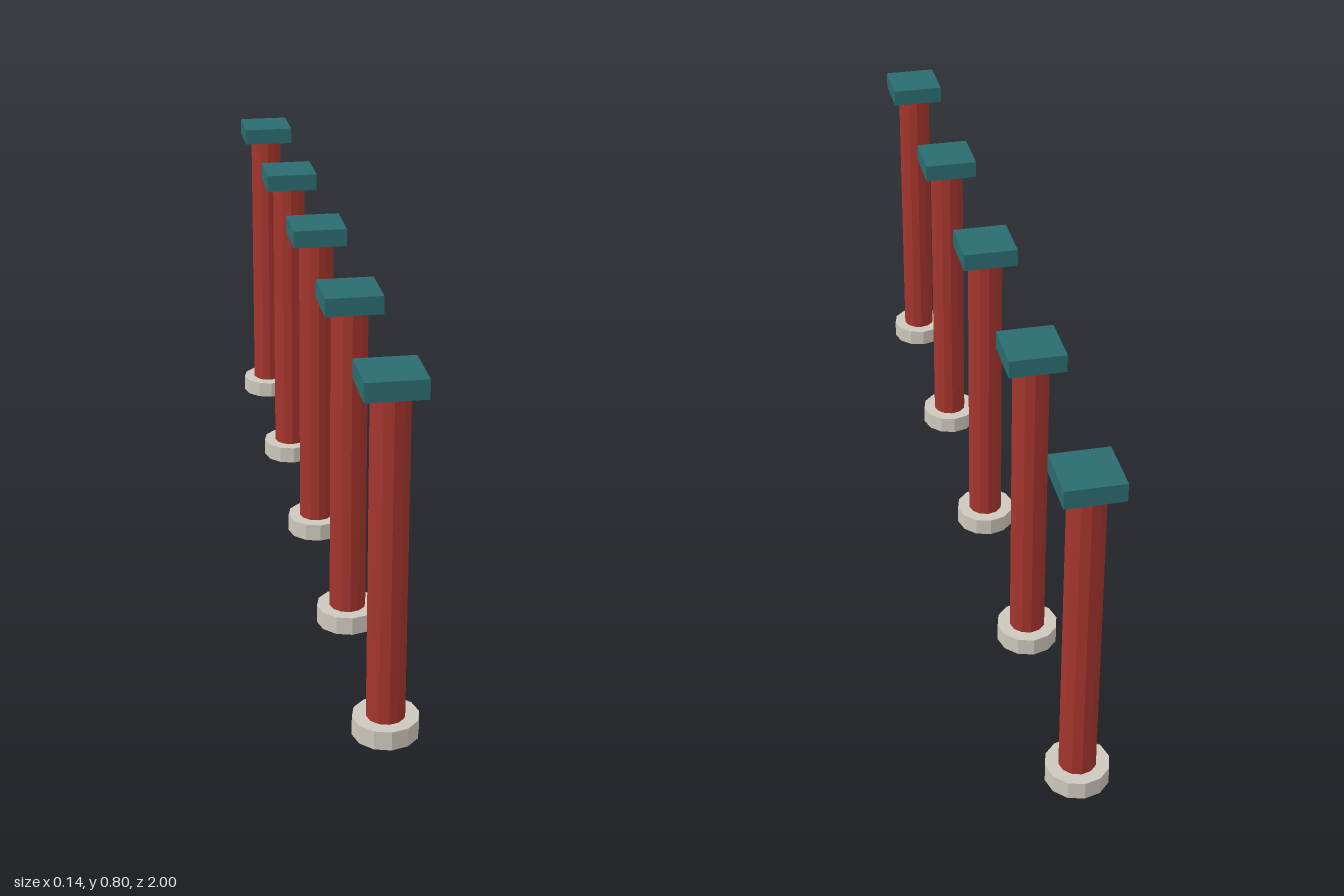
import * as THREE from 'three';

export function createModel() {
  const material = (name, color, flatShading) => {
    const m = new THREE.MeshStandardMaterial({ color, flatShading });
    m.name = name;
    return m;
  };
  const stone = material('pale stone', 0xcdc8bc, true);
  const red = material('red paint', 0xa5352d, true);
  const teal = material('teal paint', 0x2b6c70, true);

  // Shared part geometries, each moved to its height
  const baseGeometry = new THREE.CylinderGeometry(0.07, 0.07, 0.042, 12).translate(0, 0.021, 0);
  const shaftGeometry = new THREE.CylinderGeometry(0.041, 0.041, 0.718, 12).translate(0, 0.401, 0);
  const capGeometry = new THREE.BoxGeometry(0.126, 0.041, 0.126).translate(0, 0.7805, 0);

  const model = new THREE.Group();
  model.name = 'columnRow';

  // Five equal columns along z
  for (let i = -2; i <= 2; i++) {
    const column = new THREE.Group();
    column.name = 'column';
    const add = (name, geometry, mat) => {
      const mesh = new THREE.Mesh(geometry, mat);
      mesh.name = name;
      column.add(mesh);
    };
    add('base', baseGeometry, stone);
    add('shaft', shaftGeometry, red);
    add('cap', capGeometry, teal);
    column.position.z = i * 0.465;
    model.add(column);
  }
  return model;
}
